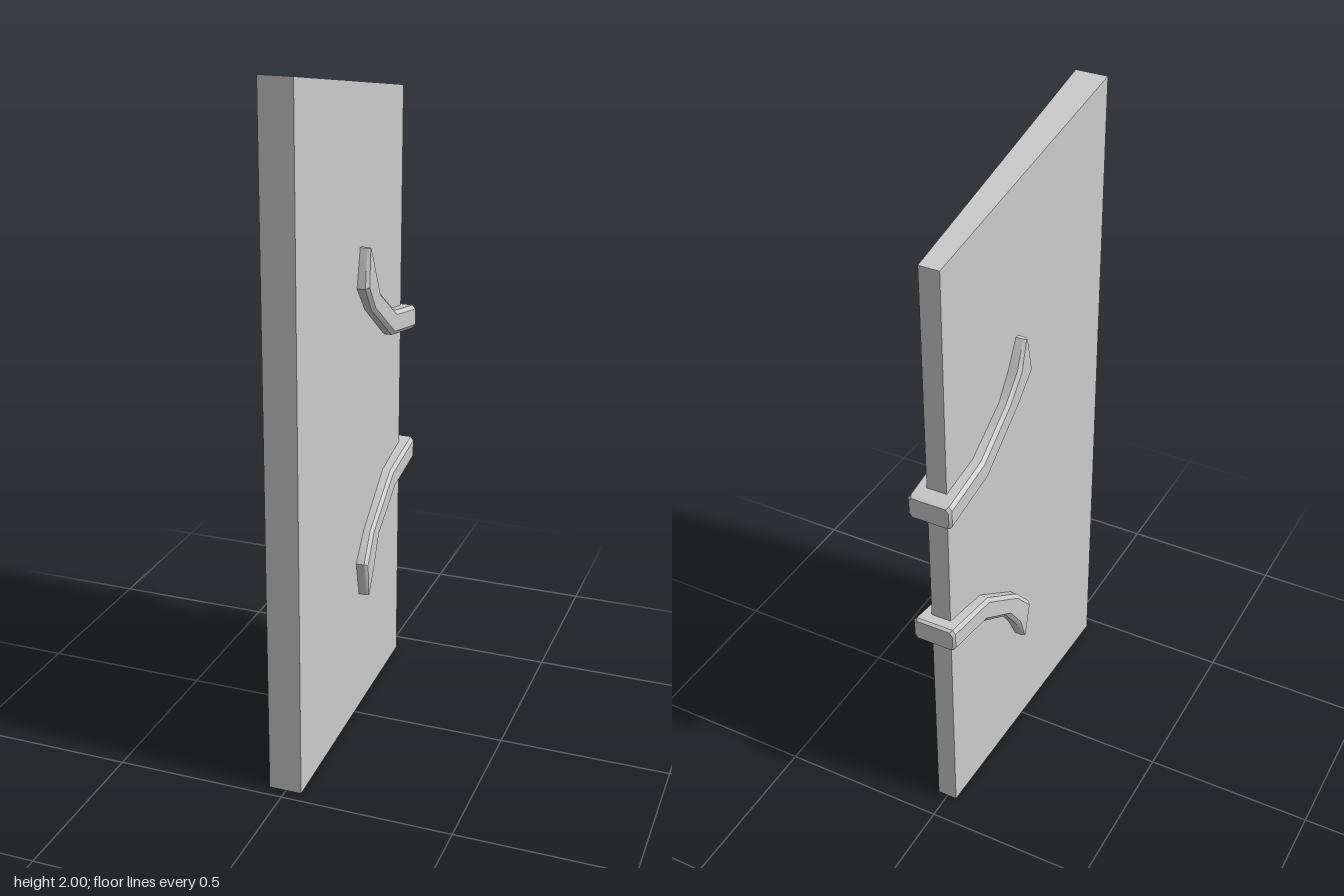
import * as THREE from 'three';
import { toCreasedNormals } from 'three/addons/utils/BufferGeometryUtils.js';

const CENTRE_X = -0.002;

// Closed skin over equal-sized rings that run counter-clockwise seen from their first end
function loft(rings) {
  const n = rings[0].length, last = (rings.length - 1) * n, index = [];
  for (let i = 0; i < rings.length - 1; i++) {
    for (let j = 0; j < n; j++) {
      const k = (j + 1) % n, a = i * n, b = a + n;
      index.push(a + j, b + j, b + k, a + j, b + k, a + k);
    }
  }
  for (let j = 1; j < n - 1; j++) {
    index.push(0, j, j + 1, last, last + j + 1, last + j);
  }
  const geometry = new THREE.BufferGeometry();
  geometry.setAttribute('position', new THREE.Float32BufferAttribute(rings.flat(2), 3));
  geometry.setIndex(index);
  return geometry;
}

// Clasp stations: lower edge z, y; upper edge z, y; half width
const STATIONS = [
  [-0.034, 1.458, -0.046, 1.458, 0.068],
  [-0.008, 1.346, -0.087, 1.378, 0.072],
  [-0.077, 1.266, -0.14, 1.303, 0.066],
  [-0.257, 1.139, -0.283, 1.208, 0.066],
  [-0.456, 1.102, -0.456, 1.176, 0.066],
  [-0.464, 1.108, -0.464, 1.17, 0.06],
];

function claspRing([bz, by, tz, ty, w]) {
  const c = Math.min(0.012, Math.hypot(tz - bz, ty - by) * 0.3);
  const f = c / Math.hypot(tz - bz, ty - by), s = w - 0.009;
  // chamfered rectangle: x, fraction from lower to upper edge
  const outline = [[s, 0], [w, f], [w, 1 - f], [s, 1], [-s, 1], [-w, 1 - f], [-w, f], [-s, 0]];
  return outline.map(([x, t]) => [CENTRE_X + x, by + (ty - by) * t, bz + (tz - bz) * t]);
}

function clasp(mirrored) {
  let rings = STATIONS.map(claspRing);
  if (mirrored) {
    rings = rings.map((ring) => ring.map(([x, y, z]) => [x, 1.845 - y, z]).reverse());
  }
  return toCreasedNormals(loft(rings), 0.6);
}

export function createModel() {
  const model = new THREE.Group();
  model.name = 'panelWithClasps';
  const material = new THREE.MeshStandardMaterial({ color: 0xcccccc });
  const add = (name, geometry) => {
    const mesh = new THREE.Mesh(geometry, material);
    mesh.name = name;
    model.add(mesh);
  };

  // Panel: thinner towards the back, with a sloping top
  const panel = new THREE.BoxGeometry(1, 1, 1);
  const p = panel.attributes.position;
  for (let i = 0; i < p.count; i++) {
    const front = p.getZ(i) > 0, top = p.getY(i) > 0;
    const half = front ? 0.048 : 0.03;
    p.setXYZ(
      i,
      CENTRE_X + Math.sign(p.getX(i)) * half,
      top ? (front ? 2 : 1.85) : (front ? 0 : 0.006),
      front ? 0.465 : -0.42,
    );
  }
  add('panel', toCreasedNormals(panel, 0.5));

  // Curved clasps wrapping the back edge, mirrored above and below
  add('upperClasp', clasp(false));
  add('lowerClasp', clasp(true));
  return model;
}
